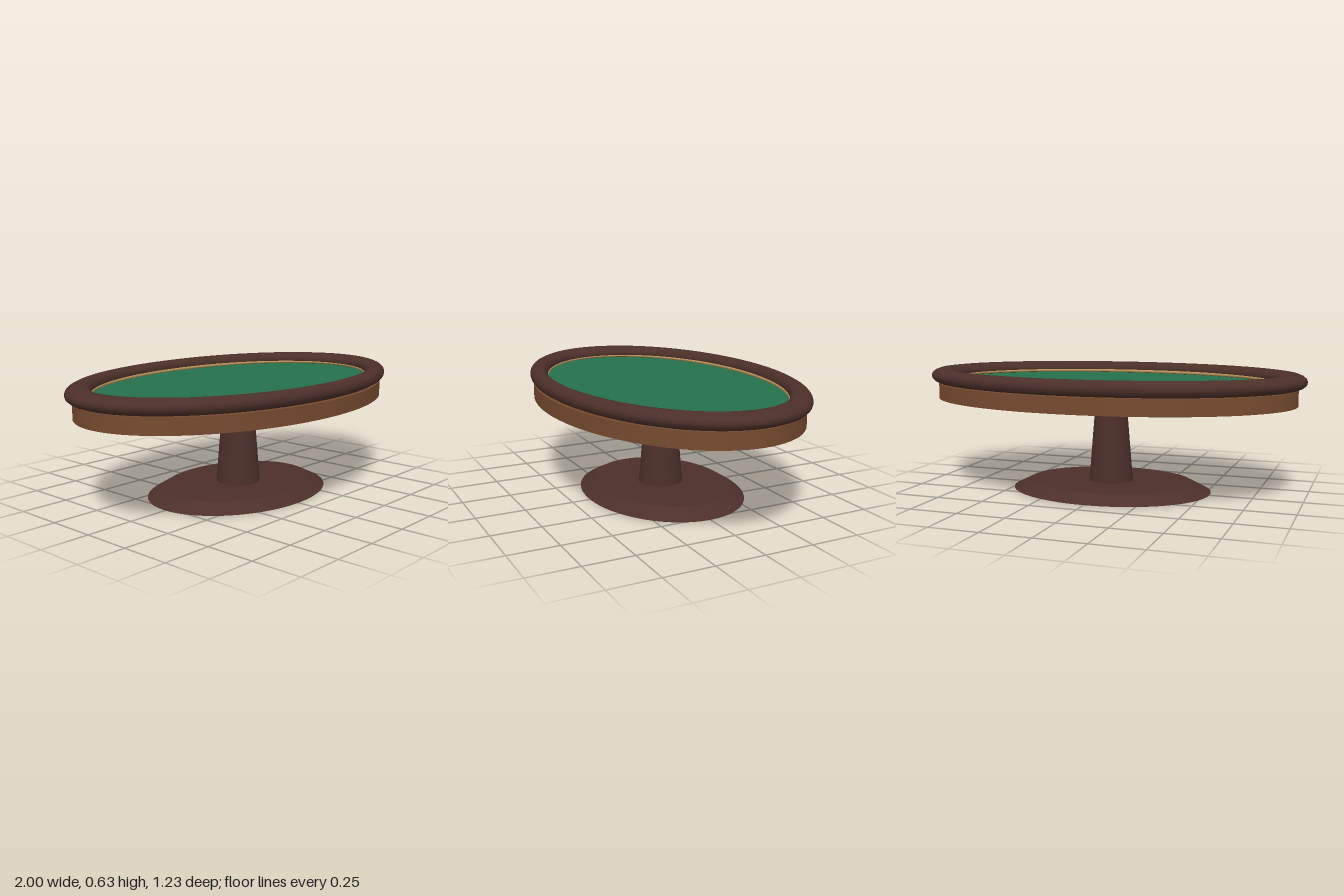
import * as THREE from 'three';

export function createModel() {
  const model = new THREE.Group();
  model.name = 'ovalCardTable';

  const material = (name, color) => {
    const m = new THREE.MeshStandardMaterial({ color });
    m.name = name;
    return m;
  };
  const darkWood = material('darkWood', 0x4c3029);
  const warmWood = material('warmWood', 0x774b30);
  const feltGreen = material('feltGreen', 0x25704c);
  const trimTan = material('trimTan', 0xb8935a);

  const add = (name, geometry, mat) => {
    const mesh = new THREE.Mesh(geometry, mat);
    mesh.name = name;
    model.add(mesh);
  };

  // Elliptical slab: rx and rz at the bottom, topScale narrows the top
  const slab = (rx, rz, y0, y1, topScale = 1) =>
    new THREE.CylinderGeometry(topScale, 1, y1 - y0, 96)
      .scale(rx, 1, rz)
      .translate(0, (y0 + y1) / 2, 0);

  // Oval ring lying flat: tube is its half width along x, halfHeight along y
  const ring = (rx, rz, tube, halfHeight, y, sides) =>
    new THREE.TorusGeometry(rx, tube, sides, 128)
      .rotateX(-Math.PI / 2)
      .scale(1, halfHeight / tube, rz / rx)
      .translate(0, y, 0);

  // Foot and tapered column
  add('base', slab(0.53, 0.405, 0, 0.045, 0.825), darkWood);
  add('pedestal', new THREE.CylinderGeometry(0.08, 0.115, 0.43, 48).translate(0, 0.258, 0), darkWood);

  // Table body, recessed playing surface and padded rail
  add('apron', slab(0.957, 0.605, 0.468, 0.549), warmWood);
  add('feltSurface', slab(0.885, 0.546, 0.545, 0.567), feltGreen);
  add('feltTrim', ring(0.873, 0.533, 0.012, 0.008, 0.576, 10), trimTan);
  add('rail', ring(0.93, 0.574, 0.07, 0.039, 0.588, 16), darkWood);

  return model;
}
